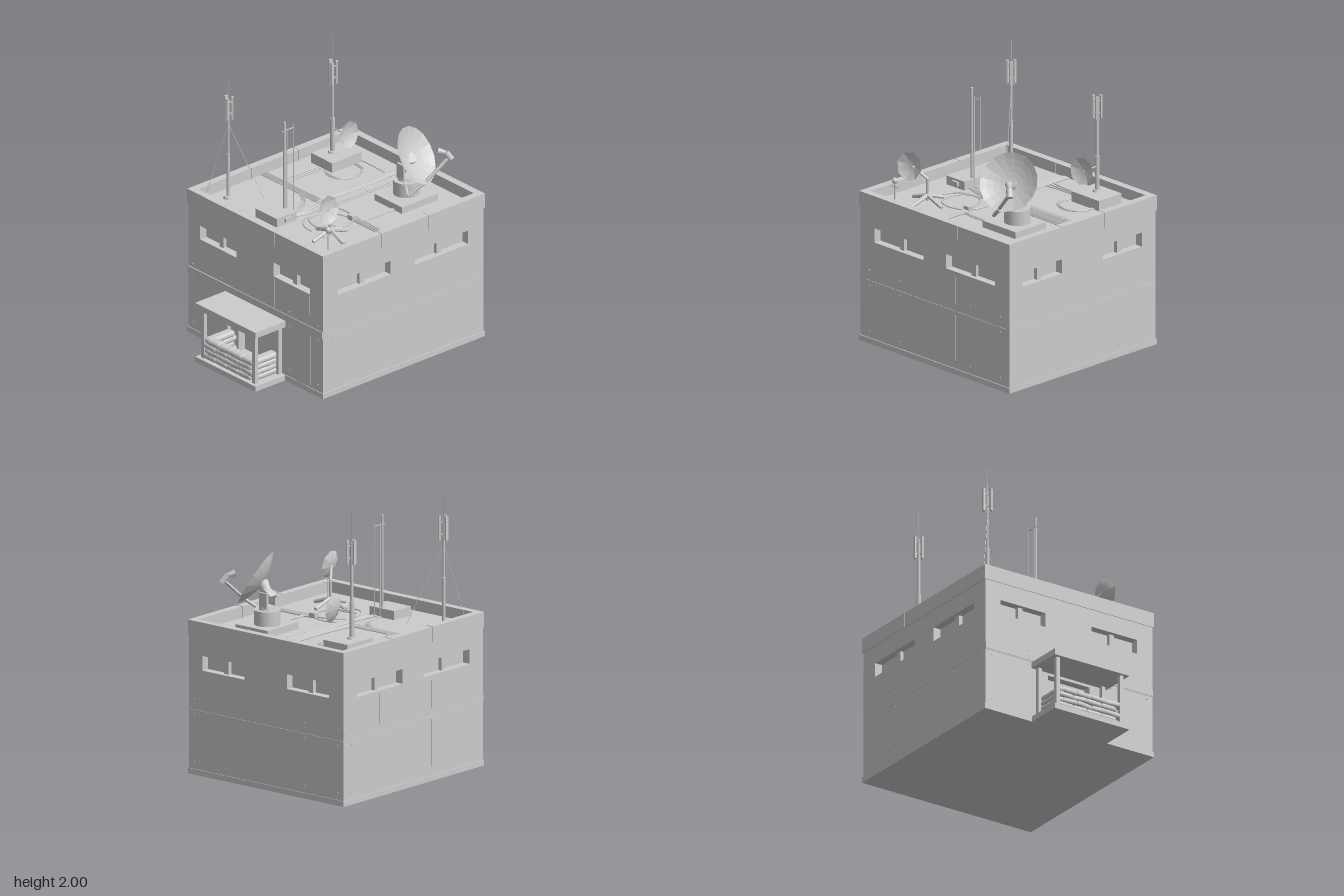
import * as THREE from 'three';
import { RoundedBoxGeometry } from 'three/addons/geometries/RoundedBoxGeometry.js';

const MAT = new THREE.MeshStandardMaterial({ color: 0xcccccc, flatShading: true });
const THIN = new THREE.MeshStandardMaterial({ color: 0xcccccc, side: THREE.DoubleSide, flatShading: true });
const SMOOTH = new THREE.MeshStandardMaterial({ color: 0xcccccc });
const ROOF = 1.02, ZC = -0.1375;
const V = (x, y, z) => new THREE.Vector3(x, y, z);

function add(parent, name, geo, x = 0, y = 0, z = 0, mat = MAT) {
  const m = new THREE.Mesh(geo, mat);
  m.name = name;
  m.position.set(x, y, z);
  parent.add(m);
  return m;
}
// box given by its extents
function box(parent, name, x0, x1, y0, y1, z0, z1) {
  return add(parent, name, new THREE.BoxGeometry(x1 - x0, y1 - y0, z1 - z0), (x0 + x1) / 2, (y0 + y1) / 2, (z0 + z1) / 2);
}
// straight rod between two points
function rod(parent, name, a, b, r0, r1 = r0, sides = 8) {
  const d = b.clone().sub(a);
  const m = add(parent, name, new THREE.CylinderGeometry(r1, r0, d.length(), sides), 0, 0, 0, sides > 6 ? SMOOTH : MAT);
  m.position.copy(a).addScaledVector(d, 0.5);
  m.quaternion.setFromUnitVectors(V(0, 1, 0), d.normalize());
  return m;
}
function group(parent, name, x = 0, y = 0, z = 0) {
  const g = new THREE.Group();
  g.name = name;
  g.position.set(x, y, z);
  parent.add(g);
  return g;
}
function rectPath(target, x0, x1, y0, y1) {
  return target.moveTo(x0, y0).lineTo(x1, y0).lineTo(x1, y1).lineTo(x0, y1).closePath();
}
// shallow bowl facing along the given normal
function dish(parent, name, centre, normal, r, depth, sides) {
  const pts = [];
  for (let i = 0; i <= 5; i++) pts.push(new THREE.Vector2(Math.max(r * i / 5, 0.0001), depth * ((i / 5) ** 2 - 0.7)));
  const m = add(parent, name, new THREE.LatheGeometry(pts, sides), 0, 0, 0, THIN);
  m.position.copy(centre);
  m.quaternion.setFromUnitVectors(V(0, 1, 0), normal.clone().normalize());
  return m;
}

// one outer wall: window slots, mullions, panel seams and rivets
function wall(parent, name, half, slots, seams, door, px, pz, turn) {
  const g = group(parent, name, px, 0, pz);
  g.rotation.y = turn;
  const s = rectPath(new THREE.Shape(), -half, half, 0.03, 1.0);
  for (const [a, b] of slots) {
    s.holes.push(rectPath(new THREE.Path(), a, b, 0.755, 0.86));
    const c = (a + b) / 2;
    box(g, 'windowMullion', c - 0.02, c + 0.02, 0.755, 0.86, -0.07, -0.03);
  }
  if (door) s.holes.push(rectPath(new THREE.Path(), -0.18, 0.17, 0.04, 0.39));
  const geo = new THREE.ExtrudeGeometry(s, { depth: 0.07, bevelEnabled: false });
  add(g, 'wallPanel', geo, 0, 0, -0.07);
  box(g, 'floorSeam', -half, half, 0.458, 0.465, -0.01, 0.004);
  for (const [u, y0, y1] of seams) box(g, 'panelSeam', u - 0.003, u + 0.003, y0, y1, -0.01, 0.002);
  for (const u of [-0.93, -0.5, 0.5, 0.93])
    for (const y of [0.09, 0.43, 0.54]) {
      const rivet = add(g, 'rivet', new THREE.CylinderGeometry(0.006, 0.006, 0.008, 6), u * half, y, 0);
      rivet.rotation.x = Math.PI / 2;
    }
  return g;
}

function buildHouse(root) {
  const g = group(root, 'building');
  box(g, 'innerCore', -0.645, 0.645, 0.01, ROOF, -0.82, 0.545);
  box(g, 'baseSlab', -0.71, 0.71, 0, 0.04, -0.885, 0.61);
  const seams = [[-0.2, 0.52, 0.74], [0.2, 0.52, 0.74], [-0.2, 0.87, 0.98], [-0.6, 0.05, 0.45], [0.57, 0.06, 0.44], [0.56, 0.6, 0.74]];
  const sideSeams = [[-0.59, 0.05, 0.44], [0.2, 0.1, 0.44], [0.2, 0.52, 0.72], [-0.36, 0.52, 0.74], [0.6, 0.15, 0.35], [0.6, 0.55, 0.74]];
  const frontSlots = [[-0.58, -0.2], [0.19, 0.57]], sideSlots = [[-0.6, -0.115], [0.11, 0.6]];
  const front = wall(g, 'frontWall', 0.703, frontSlots, seams, true, 0, 0.605, 0);
  box(front, 'frontLedge', -0.703, 0.703, 0.465, 0.51, -0.01, 0.006);
  wall(g, 'backWall', 0.703, frontSlots, seams, false, 0, -0.88, Math.PI);
  wall(g, 'leftWall', 0.7, sideSlots, sideSeams, false, 0.703, ZC, Math.PI / 2);
  wall(g, 'rightWall', 0.7, sideSlots, sideSeams, false, -0.703, ZC, -Math.PI / 2);
  // parapet ring
  const ring = rectPath(new THREE.Shape(), -0.71, 0.71, -0.61, 0.885);
  ring.holes.push(rectPath(new THREE.Path(), -0.655, 0.655, -0.555, 0.83));
  const p = add(g, 'parapet', new THREE.ExtrudeGeometry(ring, { depth: 0.11, bevelEnabled: false }), 0, 0.99, 0);
  p.rotation.x = -Math.PI / 2;
  box(g, 'roofDeck', -0.66, 0.66, 0.99, ROOF, -0.835, 0.56);
  for (const x of [-0.205, 0.2]) for (const z of [-0.858, 0.583])
    box(g, 'parapetJoint', x - 0.003, x + 0.003, 0.992, 1.103, z - 0.029, z + 0.029);
  for (const x of [-0.682, 0.682]) for (const z of [-0.37, 0.065])
    box(g, 'parapetJoint', x - 0.03, x + 0.03, 0.992, 1.103, z - 0.003, z + 0.003);
}

function buildPorch(root) {
  const g = group(root, 'porch');
  box(g, 'porchFloor', -0.315, 0.315, 0, 0.04, 0.6, 0.885);
  box(g, 'porchRoof', -0.315, 0.315, 0.41, 0.455, 0.6, 0.885);
  for (const x of [-0.267, 0.267]) for (const z of [0.625, 0.845])
    box(g, 'porchPost', x - 0.015, x + 0.015, 0.04, 0.41, z - 0.015, z + 0.015);
  // sandbags laid in courses on three sides
  const bag = new RoundedBoxGeometry(0.135, 0.048, 0.075, 3, 0.022);
  for (let row = 0; row < 4; row++) {
    const y = 0.062 + row * 0.039, shift = row % 2 ? 0.03 : -0.03;
    for (let i = 0; i < 4; i++) {
      const b = add(g, 'sandbag', bag, -0.18 + i * 0.12 + shift * 0.6, y, 0.825, SMOOTH);
      b.rotation.set(0, 0.05 * Math.sin(i * 5 + row * 3), 0.06 * Math.sin(i * 3 + row * 2));
    }
    for (const s of [-1, 1]) for (let i = 0; i < 2; i++) {
      const b = add(g, 'sandbag', bag, s * 0.222, y, 0.68 + i * 0.1 + shift * 0.3, SMOOTH);
      b.rotation.y = Math.PI / 2 + 0.07 * Math.sin(i * 4 + row);
    }
  }
}

// cell mast: stepped pole, three panel antennas and a whip
function cellMast(root, x, z, y0, r, tip) {
  const g = group(root, 'cellMast', x, 0, z);
  rod(g, 'mastFoot', V(0, y0, 0), V(0, y0 + 0.02, 0), 0.036, 0.03, 12);
  rod(g, 'lowerPole', V(0, y0, 0), V(0, 1.36, 0), r);
  rod(g, 'upperPole', V(0, 1.36, 0), V(0, 1.78, 0), r * 0.65);
  rod(g, 'whip', V(0, 1.78, 0), V(0, tip, 0), 0.003, 0.002, 5);
  for (let i = 0; i < 3; i++) {
    const arm = group(g, 'panelAntenna');
    arm.rotation.y = i * Math.PI * 2 / 3 + 0.4;
    box(arm, 'panel', -0.012, 0.012, 1.63, 1.8, 0.022, 0.036);
    for (const y of [1.67, 1.76]) box(arm, 'panelBracket', -0.004, 0.004, y - 0.005, y + 0.005, 0, 0.025);
  }
}

function buildMasts(root) {
  cellMast(root, -0.535, 0.385, ROOF, 0.013, 1.95);
  for (const [x, z] of [[-0.65, 0.495], [-0.33, 0.225]])
    rod(root, 'guyWire', V(-0.535, 1.59, 0.385), V(x, ROOF, z), 0.002, 0.002, 5);
  // mast on a plinth with its side dish
  box(root, 'mastPlinth', -0.57, -0.35, ROOF, 1.095, -0.68, -0.41);
  cellMast(root, -0.48, -0.53, 1.09, 0.017, 2.0);
  dish(root, 'sideDish', V(-0.325, 1.285, -0.54), V(0.98, 0.12, -0.15), 0.1, 0.025, 8);
  rod(root, 'sideDishArm', V(-0.48, 1.28, -0.53), V(-0.335, 1.28, -0.54), 0.005);
  // slim pole beside the equipment box
  box(root, 'equipmentBox', -0.19, 0.035, ROOF, 1.085, 0.26, 0.44);
  box(root, 'junctionBox', 0.035, 0.053, ROOF + 0.02, 1.07, 0.315, 0.37);
  rod(root, 'slimPole', V(-0.06, ROOF, 0.285), V(-0.06, 1.75, 0.285), 0.009);
  rod(root, 'slimPole', V(-0.06, ROOF, 0.262), V(-0.06, 1.69, 0.262), 0.005);
  rod(root, 'crossArm', V(-0.06, 1.68, 0.31), V(-0.06, 1.68, 0.2), 0.004);
  rod(root, 'hangingAerial', V(-0.06, ROOF, 0.202), V(-0.06, 1.71, 0.202), 0.002, 0.002, 5);
  // small weather sensor
  rod(root, 'sensorStick', V(0.55, ROOF, 0.42), V(0.55, 1.18, 0.42), 0.005);
  add(root, 'sensorBall', new THREE.SphereGeometry(0.022, 12, 8), 0.55, 1.185, 0.42, SMOOTH);
  rod(root, 'sensorBar', V(0.55, 1.14, 0.38), V(0.55, 1.14, 0.46), 0.004);
}

function buildDishes(root) {
  const g = group(root, 'mainDish');
  box(g, 'dishPlinth', 0.16, 0.45, ROOF, 1.07, -0.68, -0.35);
  rod(g, 'turntable', V(0.29, 1.06, -0.53), V(0.29, 1.175, -0.53), 0.093, 0.093, 24);
  rod(g, 'turntableCollar', V(0.29, 1.175, -0.53), V(0.29, 1.2, -0.53), 0.06, 0.055, 16);
  const axis = V(0.77, 0.5, -0.34).normalize(), c = V(0.37, 1.378, -0.535);
  for (const s of [-1, 1]) box(g, 'yokeCheek', 0.25, 0.32, 1.19, 1.3, -0.53 + s * 0.045 - 0.009, -0.53 + s * 0.045 + 0.009);
  const hub = box(g, 'yokeHub', 0.245, 0.325, 1.23, 1.31, -0.565, -0.495);
  hub.rotation.z = 0.6;
  rod(g, 'dishNeck', V(0.28, 1.27, -0.53), c.clone().addScaledVector(axis, -0.035), 0.032, 0.045, 10);
  dish(g, 'reflector', c, axis, 0.213, 0.06, 16);
  // feed arm and horn
  const path = [V(0.42, 1.12, -0.43), V(0.48, 1.22, -0.55), V(0.535, 1.37, -0.7)];
  for (let i = 0; i < 2; i++) rod(g, 'feedArm', path[i], path[i + 1], 0.013, 0.013, 6);
  rod(g, 'feedArmBrace', V(0.3, 1.2, -0.5), path[0], 0.01, 0.01, 6);
  rod(g, 'feedHead', V(0.545, 1.36, -0.72), V(0.52, 1.41, -0.69), 0.024, 0.024, 10);
  rod(g, 'feedHorn', V(0.52, 1.41, -0.69), V(0.485, 1.425, -0.645), 0.014, 0.026, 10);
  // small dish on a four-legged stand
  const t = group(root, 'standDish', 0.39, 0, 0.26);
  for (let i = 0; i < 4; i++) {
    const a = i * Math.PI / 2 + 0.06;
    rod(t, 'standLeg', V(Math.cos(a) * 0.15, ROOF + 0.008, Math.sin(a) * 0.15), V(0, 1.08, 0), 0.014, 0.016, 6);
  }
  rod(t, 'standPost', V(0, ROOF + 0.02, 0), V(0, 1.2, 0), 0.011);
  rod(t, 'standArm', V(0, 1.2, 0), V(0.065, 1.285, 0.085), 0.01);
  dish(t, 'standReflector', V(0.08, 1.288, 0.093), V(0.97, 0.2, -0.15), 0.105, 0.028, 8);
  rod(t, 'standFeedArm', V(0.085, 1.19, 0.09), V(0.15, 1.18, 0.08), 0.004);
}

// roof cables from plan points [x, z]
function cable(root, pts, r = 0.006, closed = false) {
  const curve = new THREE.CatmullRomCurve3(pts.map(([x, z]) => V(x, ROOF + r, z)), closed, 'centripetal');
  add(root, 'cable', new THREE.TubeGeometry(curve, pts.length * 8, r, 6, closed), 0, 0, 0, SMOOTH);
}
function buildCables(root) {
  const g = group(root, 'roofCables');
  for (let i = 0; i < 4; i++) {
    const d = i * 0.016;
    cable(g, [[-0.075 + d * 0.7, -0.83], [-0.075 + d * 0.7, -0.2], [-0.1 + d * 0.7, -0.08 + d], [-0.17, -0.072 + d], [-0.65, -0.072 + d]]);
    cable(g, [[-0.02 + d, -0.83], [-0.02 + d, -0.1], [-0.02 + d, 0.12], [-0.03 + d * 0.4, 0.26]]);
    cable(g, [[0.3, -0.07 + d], [0.45, -0.07 + d], [0.635, -0.07 + d]]);
  }
  for (let i = 0; i < 3; i++) {
    const d = i * 0.022;
    cable(g, [[-0.48 + d, -0.4], [-0.485 + d, -0.2], [-0.5 + d * 1.6, -0.07]]);
    cable(g, [[-0.25 + d, -0.02], [-0.15 + d * 0.7, 0.04], [-0.085 + d * 0.5, 0.15], [-0.06, 0.28]], 0.005);
  }
  for (const d of [0, 0.016]) {
    cable(g, [[0.352 + d, -0.35], [0.352 + d, -0.15], [0.34 + d, -0.06]]);
    cable(g, [[-0.35, -0.63 + d], [-0.25, -0.61 + d], [-0.19 - d, -0.5], [-0.24, -0.38 - d], [-0.34, -0.36 - d], [-0.42, -0.4]], 0.005);
  }
  cable(g, [[0.29, -0.03], [0.17, -0.01], [0.08, 0.06], [0.09, 0.19], [0.2, 0.235], [0.31, 0.2], [0.345, 0.1], [0.32, 0.0]], 0.006, true);
  cable(g, [[0.055, -0.83], [0.055, 0.05], [0.08, 0.22], [0.15, 0.29], [0.25, 0.305]]);
  cable(g, [[0.06, 0.0], [0.1, -0.07], [0.2, -0.08], [0.285, -0.05]]);
  cable(g, [[-0.38, -0.69], [-0.25, -0.69], [-0.11, -0.685]], 0.005);
  box(g, 'cableHub', 0.26, 0.31, ROOF, ROOF + 0.035, -0.065, -0.015);
}

export function createModel() {
  const root = new THREE.Group();
  root.name = 'communicationsOutpost';
  buildHouse(root);
  buildPorch(root);
  buildMasts(root);
  buildDishes(root);
  buildCables(root);
  return root;
}
